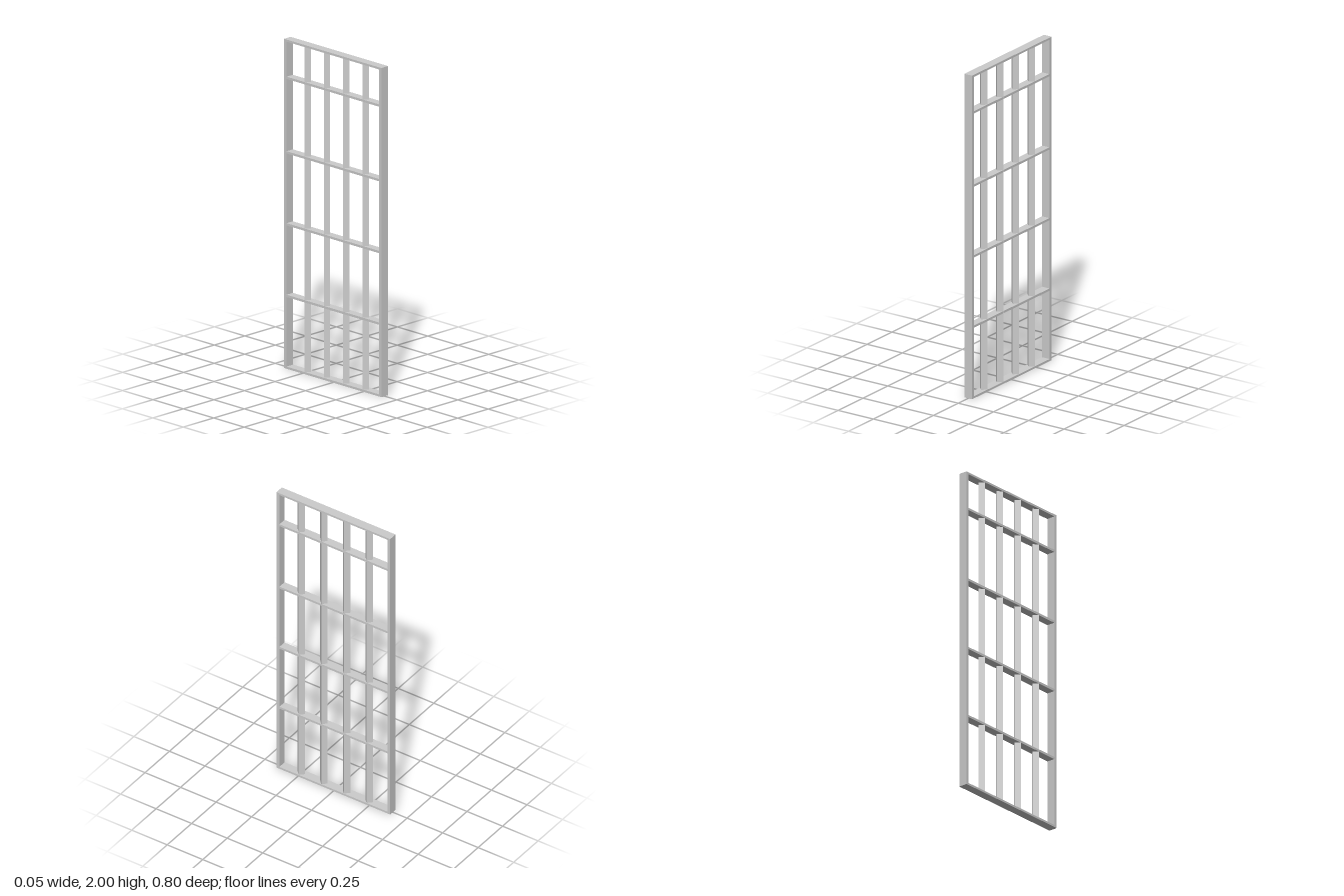
import * as THREE from 'three';

export function createModel() {
  const group = new THREE.Group();
  const material = new THREE.MeshStandardMaterial({ color: 0xcccccc, flatShading: true });
  const height = 2, width = 0.8, depth = 0.055, stile = 0.02, rail = 0.013;

  function bar(name, sx, sy, sz, y, z, turn = 0) {
    const mesh = new THREE.Mesh(new THREE.BoxGeometry(sx, sy, sz), material);
    mesh.name = name;
    mesh.position.set(0, y, z);
    mesh.rotation.y = turn;
    group.add(mesh);
  }

  // Outer frame: two upright stiles, top and bottom rails
  for (const side of [-1, 1]) {
    bar('frameStile', depth, height, stile, height / 2, side * (width - stile) / 2);
  }
  const inner = width - 2 * stile;
  bar('bottomRail', depth, rail, inner, rail / 2, 0);
  bar('topRail', depth, rail, inner, height - rail / 2, 0);

  // Flat cross slats between the stiles
  for (const y of [0.442, 0.877, 1.314, 1.767]) {
    bar('crossSlat', 0.052, 0.014, inner, y, 0);
  }

  // Square upright bars set diagonally
  const side = 0.053 / Math.SQRT2;
  for (let i = 0; i < 4; i++) {
    bar('uprightBar', side, height - 2 * rail, side, height / 2, 0.244 - i * 0.159, Math.PI / 4);
  }
  return group;
}
